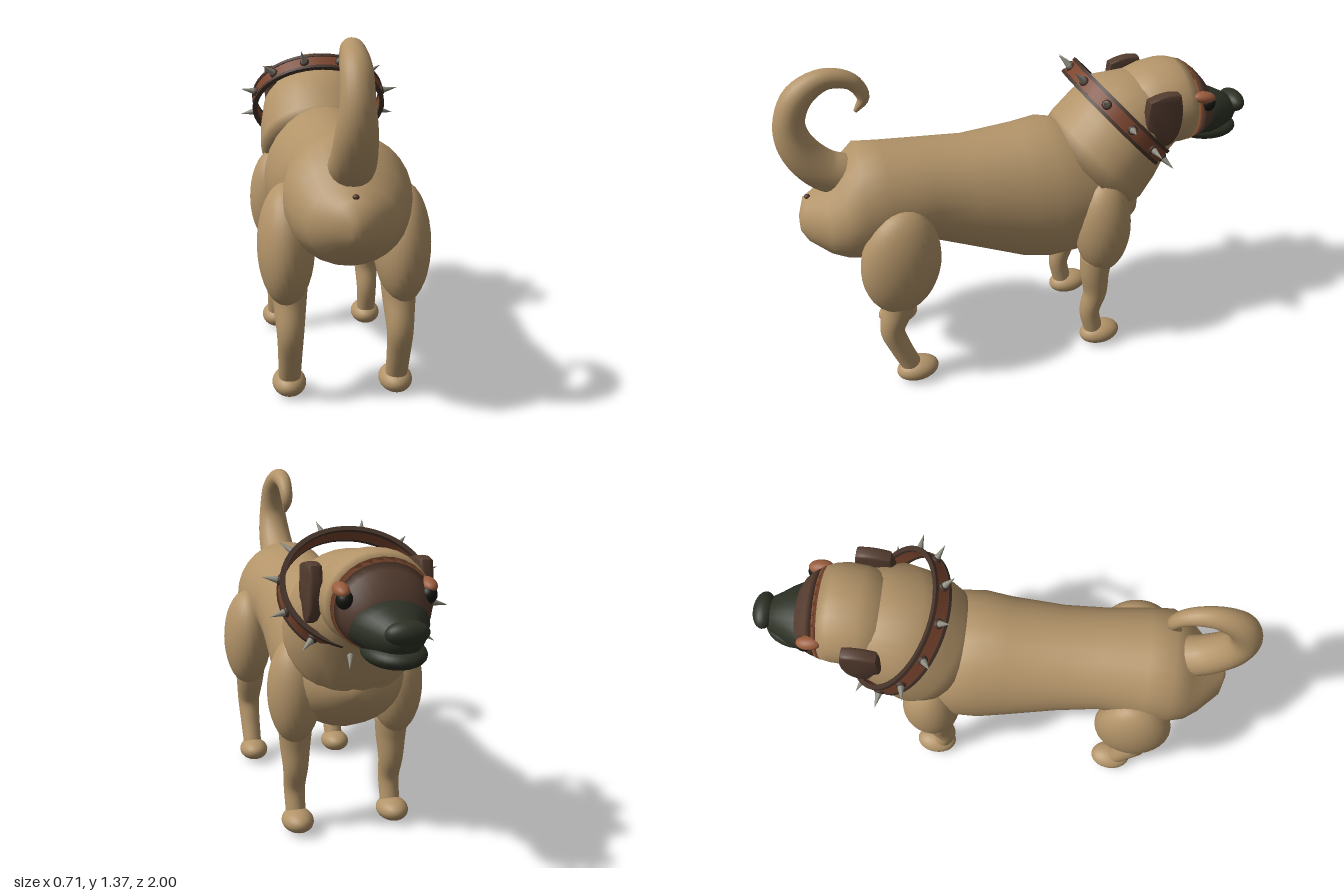
import * as THREE from 'three';
import { toCreasedNormals } from 'three/addons/utils/BufferGeometryUtils.js';

const mat = (name, color) => new THREE.MeshStandardMaterial({ name, color });

// Closed skin over elliptical rings: [y, z, rx, ry, tilt], capped at both ends
function loft(rings, seg = 28) {
  const pos = [], idx = [];
  for (const [y, z, rx, ry, t] of rings) {
    for (let j = 0; j < seg; j++) {
      const a = (j / seg) * Math.PI * 2, c = ry * Math.cos(a);
      pos.push(rx * Math.sin(a), y + c * Math.cos(t), z + c * Math.sin(t));
    }
  }
  const n = rings.length;
  for (let i = 0; i < n - 1; i++) {
    for (let j = 0; j < seg; j++) {
      const k = (j + 1) % seg, a = i * seg, b = a + seg;
      idx.push(a + j, a + k, b + j, a + k, b + k, b + j);
    }
  }
  pos.push(0, rings[0][0], rings[0][1], 0, rings[n - 1][0], rings[n - 1][1]);
  const first = n * seg, last = first + 1, e = (n - 1) * seg;
  for (let j = 0; j < seg; j++) {
    const k = (j + 1) % seg;
    idx.push(first, k, j, last, e + j, e + k);
  }
  const g = new THREE.BufferGeometry();
  g.setAttribute('position', new THREE.Float32BufferAttribute(pos, 3));
  g.setIndex(idx);
  g.computeVertexNormals();
  return g;
}

// Upright sections: [z, top, bottom, halfWidth]
const sections = (rows) => loft(rows.map(([z, t, b, w]) => [(t + b) / 2, z, w, (t - b) / 2, 0]));

// Round limb of changing radius along a smooth path: [y, z, radius]
function limb(points, steps = 28) {
  const curve = new THREE.CatmullRomCurve3(points.map((p) => new THREE.Vector3(...p)));
  const rings = [];
  for (let i = 0; i <= steps; i++) {
    const p = curve.getPoint(i / steps), d = curve.getTangent(i / steps);
    rings.push([p.x, p.y, p.z, p.z, Math.atan2(d.x, -d.y)]);
  }
  return loft(rings, 20);
}

export function createModel() {
  const model = new THREE.Group();
  const dog = new THREE.Group();
  dog.name = 'dog';
  dog.position.x = -0.013;
  model.add(dog);

  const fur = mat('tan fur', 0xb39469);
  const dark = mat('dark muzzle', 0x2d3125);
  const brown = mat('dark brown', 0x543c2f);
  const rust = mat('rust', 0x9a5c3c);
  const leather = mat('collar leather', 0x7c452e);
  const trim = mat('collar trim', 0x453329);
  const steel = mat('spike metal', 0x8b8b7e);
  const black = mat('eye black', 0x15160f);

  const add = (name, geo, material, parent = dog) => {
    const m = new THREE.Mesh(geo, material);
    m.name = name;
    parent.add(m);
    return m;
  };
  const ball = (name, material, p, s, tilt = 0) => {
    const m = add(name, new THREE.SphereGeometry(1, 28, 18), material);
    m.position.set(...p);
    m.scale.set(...s);
    m.rotation.x = tilt;
    return m;
  };

  // Trunk from rump to chest
  add('body', sections([
    [0.945, 0.77, 0.70, 0.02], [0.92, 0.84, 0.66, 0.09], [0.84, 0.88, 0.60, 0.165],
    [0.78, 0.96, 0.575, 0.21], [0.70, 1.04, 0.555, 0.235], [0.6, 1.03, 0.565, 0.23],
    [0.42, 1.02, 0.59, 0.212], [0.25, 1.01, 0.52, 0.22], [0.03, 1.03, 0.43, 0.245],
    [-0.08, 1.045, 0.41, 0.262], [-0.18, 1.02, 0.42, 0.262], [-0.3, 0.95, 0.45, 0.245],
    [-0.39, 0.86, 0.49, 0.21], [-0.46, 0.78, 0.545, 0.15], [-0.51, 0.70, 0.62, 0.05],
  ]), fur);
  ball('rumpSpot', brown, [0, 0.85, 0.905], [0.012, 0.01, 0.012]);

  // Curled tail
  add('tail', limb([
    [0.92, 0.74, 0.085], [0.96, 0.83, 0.083], [1.06, 0.915, 0.075], [1.17, 0.94, 0.062],
    [1.28, 0.895, 0.056], [1.338, 0.79, 0.042], [1.315, 0.69, 0.033], [1.245, 0.65, 0.025],
    [1.19, 0.685, 0.008],
  ], 40), fur);

  // Neck, leaning forward
  add('neck', loft([
    [0.80, -0.27, 0.25, 0.25, 0.75], [0.85, -0.325, 0.27, 0.262, 0.75],
    [0.93, -0.39, 0.265, 0.25, 0.75], [1.015, -0.455, 0.248, 0.23, 0.75],
    [1.05, -0.56, 0.2, 0.19, 0.65], [1.05, -0.64, 0.14, 0.14, 0.5],
  ]), fur);

  // Skull, rust border and brown mask
  add('head', sections([
    [-0.43, 1.14, 0.95, 0.12], [-0.47, 1.205, 0.91, 0.18], [-0.54, 1.23, 0.885, 0.2],
    [-0.61, 1.24, 0.875, 0.206], [-0.66, 1.235, 0.875, 0.202], [-0.7, 1.22, 0.88, 0.192],
  ]), fur);
  add('maskBorder', sections([[-0.7, 1.222, 0.878, 0.193], [-0.72, 1.21, 0.885, 0.186]]), rust);
  add('mask', sections([
    [-0.72, 1.208, 0.886, 0.185], [-0.75, 1.185, 0.89, 0.172], [-0.785, 1.145, 0.9, 0.15],
    [-0.81, 1.1, 0.91, 0.12], [-0.83, 1.05, 0.95, 0.07],
  ]), brown);

  // Muzzle, jaw and nose
  add('muzzle', sections([
    [-0.7, 1.06, 0.9, 0.13], [-0.75, 1.085, 0.895, 0.15], [-0.8, 1.095, 0.89, 0.145],
    [-0.85, 1.08, 0.89, 0.12], [-0.89, 1.06, 0.9, 0.095], [-0.93, 1.04, 0.92, 0.072],
    [-0.96, 1.0, 0.95, 0.035],
  ]), dark);
  ball('jaw', dark, [0, 0.912, -0.825], [0.115, 0.05, 0.145], -0.05);
  ball('nose', dark, [0, 1.01, -0.955], [0.08, 0.044, 0.045]);

  // Ear flap outline, drawn with forward as +x
  const ear = new THREE.Shape();
  ear.moveTo(0.46, 1.16);
  ear.quadraticCurveTo(0.53, 1.19, 0.585, 1.175);
  ear.quadraticCurveTo(0.61, 1.08, 0.585, 1.01);
  ear.quadraticCurveTo(0.56, 0.955, 0.52, 0.965);
  ear.quadraticCurveTo(0.46, 0.99, 0.45, 1.07);
  ear.closePath();
  const earGeo = toCreasedNormals(new THREE.ExtrudeGeometry(ear, {
    depth: 0.025, bevelThickness: 0.012, bevelSize: 0.006, bevelSegments: 2, curveSegments: 8,
  }).rotateY(Math.PI / 2), 0.7);

  for (const s of [1, -1]) {
    const side = s > 0 ? 'left' : 'right';
    add(side + 'Ear', earGeo, brown).position.x = s > 0 ? 0.2 : -0.225;
    ball(side + 'Eye', black, [s * 0.155, 1.088, -0.752], [0.032, 0.034, 0.034]);
    ball(side + 'Brow', rust, [s * 0.162, 1.12, -0.73], [0.03, 0.025, 0.052], -0.15);

    // Hind leg
    ball(side + 'Thigh', fur, [s * 0.218, 0.61, 0.585], [0.108, 0.232, 0.162], -0.14);
    add(side + 'HindShin', limb([
      [0.46, 0.59, 0.07], [0.39, 0.605, 0.063], [0.28, 0.64, 0.051], [0.19, 0.615, 0.046],
      [0.07, 0.565, 0.042],
    ]), fur).position.x = s * 0.207;
    ball(side + 'HindPaw', fur, [s * 0.207, 0.055, 0.545], [0.065, 0.049, 0.09], 0.08);

    // Front leg
    ball(side + 'Shoulder', fur, [s * 0.215, 0.615, -0.28], [0.108, 0.217, 0.12]);
    add(side + 'FrontShin', limb([
      [0.46, -0.26, 0.07], [0.38, -0.255, 0.063], [0.28, -0.26, 0.052], [0.18, -0.238, 0.044],
      [0.07, -0.26, 0.041],
    ]), fur).position.x = s * 0.207;
    ball(side + 'FrontPaw', fur, [s * 0.207, 0.055, -0.288], [0.065, 0.049, 0.09], 0.08);
  }

  // Tilted collar: band, stitched edges, studs and spikes
  const collar = new THREE.Group();
  collar.name = 'collar';
  collar.position.set(0, 1.035, -0.405);
  collar.rotation.x = -0.82;
  dog.add(collar);
  const hoop = (name, r0, r1, y0, y1, material) => {
    const pts = [[r0, y0], [r1, y0], [r1, y1], [r0, y1], [r0, y0]].map((p) => new THREE.Vector2(...p));
    const g = new THREE.LatheGeometry(pts, 48).scale(0.298, 1, 0.268);
    g.deleteAttribute('normal');
    add(name, toCreasedNormals(g, 0.6), material, collar);
  };
  hoop('collarBand', 0.95, 1, -0.035, 0.035, leather);
  hoop('collarLowerEdge', 0.945, 1.015, -0.04, -0.026, trim);
  hoop('collarUpperEdge', 0.945, 1.015, 0.026, 0.04, trim);
  const up = new THREE.Vector3(0, 1, 0);
  const spikeGeo = new THREE.ConeGeometry(0.016, 0.07, 12).translate(0, 0.035, 0);
  const studGeo = new THREE.SphereGeometry(0.021, 14, 10).scale(1, 0.6, 1);
  for (let i = 0; i < 12; i++) {
    const a = ((i + 0.5) / 12) * Math.PI * 2;
    const out = new THREE.Vector3(Math.sin(a), 0, Math.cos(a));
    for (const [name, geo, m] of [['spike', spikeGeo, steel], ['stud', studGeo, trim]]) {
      const part = add(name, geo, m, collar);
      part.position.set(out.x * 0.298, 0, out.z * 0.268);
      part.quaternion.setFromUnitVectors(up, out);
    }
  }
  return model;
}
